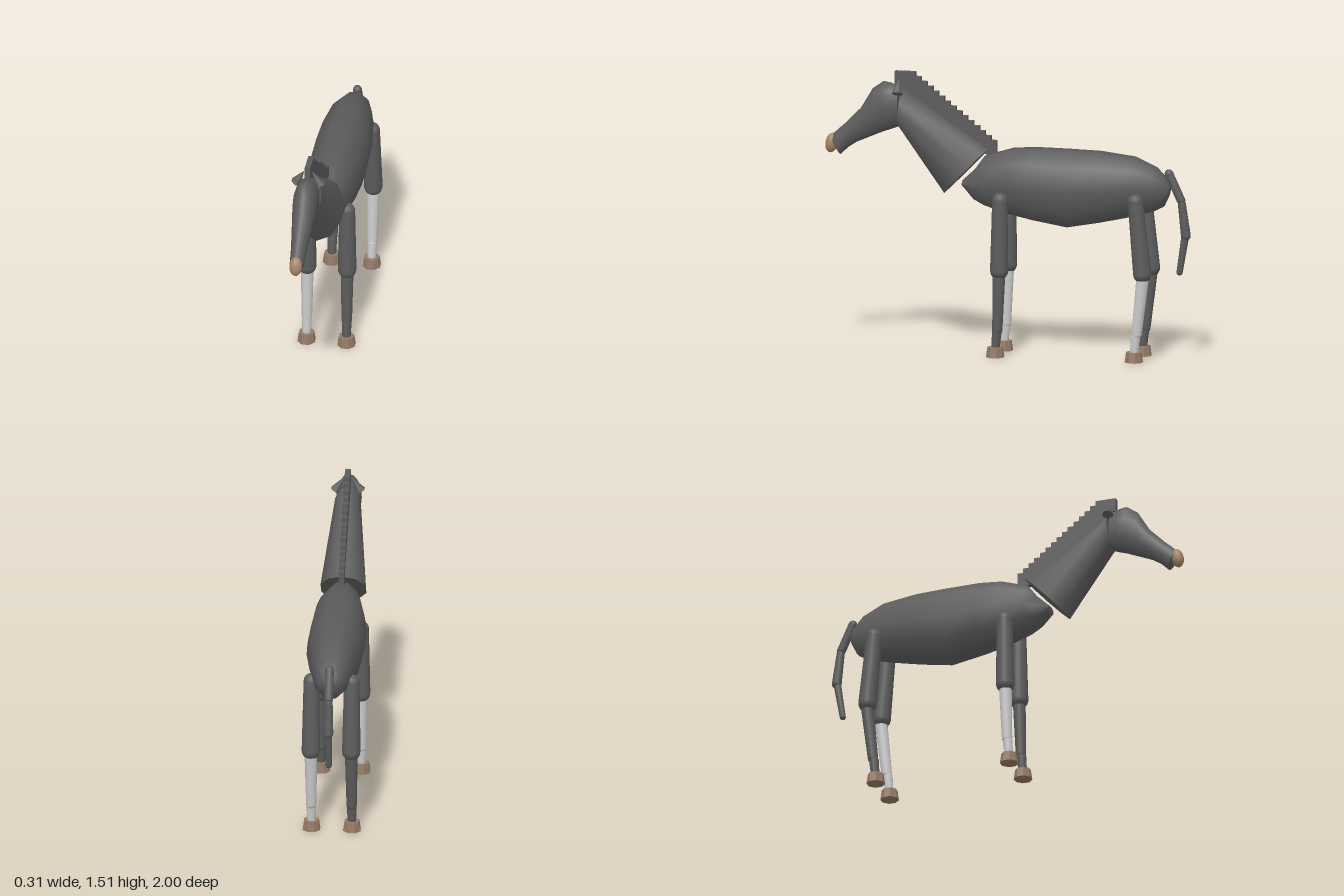
import * as THREE from 'three';

const mat = (color, flatShading = false) => new THREE.MeshStandardMaterial({ color, flatShading });
const coat = mat(0x5c5c5c);
const coatFlat = mat(0x5c5c5c, true);
const sock = mat(0xcccccc);
const muzzleSkin = mat(0xa5876a);
const horn = mat(0x937a66, true);

const add = (parent, name, geometry, material) => {
  const mesh = new THREE.Mesh(geometry, material);
  mesh.name = name;
  parent.add(mesh);
  return mesh;
};

// Skin over elliptical rings, each given as [topZ, topY, bottomZ, bottomY, halfWidth]
function loft(sections, sides, phase) {
  const pos = [], idx = [];
  const angles = Array.from({ length: sides }, (_, j) => phase + (j / sides) * Math.PI * 2);
  const reachX = Math.max(...angles.map(Math.cos));
  const reachY = Math.max(...angles.map(Math.sin));
  const ring = ([tz, ty, bz, by, w]) => angles.forEach((a) => {
    const x = (w * Math.cos(a)) / reachX, s = Math.sin(a) / reachY / 2;
    pos.push(x, (ty + by) / 2 + (ty - by) * s, (tz + bz) / 2 + (tz - bz) * s);
  });
  sections.forEach(ring);
  for (let i = 0; i < sections.length - 1; i++) {
    for (let j = 0; j < sides; j++) {
      const a = i * sides + j, b = i * sides + ((j + 1) % sides);
      idx.push(a, b, a + sides, b, b + sides, a + sides);
    }
  }
  // flat end caps with their own vertices
  [[sections[0], true], [sections[sections.length - 1], false]].forEach(([s, back]) => {
    const start = pos.length / 3;
    ring(s);
    for (let j = 1; j < sides - 1; j++) {
      idx.push(start, start + (back ? j + 1 : j), start + (back ? j : j + 1));
    }
  });
  const g = new THREE.BufferGeometry();
  g.setAttribute('position', new THREE.Float32BufferAttribute(pos, 3));
  g.setIndex(idx);
  g.computeVertexNormals();
  return g;
}

// Tapered round-ended rod between two points, tips included
function limb(parent, name, from, to, r0, r1, material, sides = 14) {
  const a = new THREE.Vector3(...from), b = new THREE.Vector3(...to);
  const len = a.distanceTo(b), pts = [], n = 5;
  for (let i = 0; i <= n; i++) {
    const t = (i / n) * Math.PI / 2;
    pts.push(new THREE.Vector2(r0 * Math.sin(t), r0 * (1 - Math.cos(t))));
  }
  for (let i = n; i >= 0; i--) {
    const t = (i / n) * Math.PI / 2;
    pts.push(new THREE.Vector2(r1 * Math.sin(t), len - r1 * (1 - Math.cos(t))));
  }
  const mesh = add(parent, name, new THREE.LatheGeometry(pts, sides), material);
  mesh.position.copy(a);
  mesh.quaternion.setFromUnitVectors(new THREE.Vector3(0, 1, 0), b.sub(a).normalize());
}

// Leg through the side-on points hip, knee, fetlock and foot, each [y, z]
function leg(parent, name, x, [hip, knee, fetlock, foot], lowerMaterial) {
  const g = new THREE.Group();
  g.name = name;
  parent.add(g);
  const p = ([y, z], dy = 0) => [x, y + dy, z];
  limb(g, 'upperLeg', p(knee, -0.01), p(hip), 0.05, 0.042, coat);
  limb(g, 'lowerLeg', p(fetlock, -0.01), p(knee, 0.04), 0.028, 0.034, lowerMaterial);
  limb(g, 'pastern', p(foot, -0.025), p(fetlock, 0.03), 0.023, 0.026, lowerMaterial);
  const hoof = add(g, 'hoof', new THREE.CylinderGeometry(0.042, 0.05, 0.055, 8), horn);
  hoof.position.set(x, 0.0275, foot[1]);
  hoof.rotation.y = Math.PI / 8;
}

export function createModel() {
  const horse = new THREE.Group();
  horse.name = 'horse';

  // Barrel of the body, rump to chest
  add(horse, 'body', loft([
    [-0.885, 0.94, -0.875, 0.88, 0.035],
    [-0.86, 0.985, -0.85, 0.83, 0.065],
    [-0.81, 1.035, -0.81, 0.81, 0.09],
    [-0.69, 1.088, -0.69, 0.775, 0.122],
    [-0.5, 1.11, -0.5, 0.735, 0.148],
    [-0.33, 1.115, -0.33, 0.705, 0.155],
    [-0.14, 1.118, -0.14, 0.737, 0.148],
    [-0.02, 1.11, -0.02, 0.762, 0.13],
    [0.126, 1.067, 0.126, 0.805, 0.1],
    [0.175, 1.0, 0.185, 0.835, 0.08],
    [0.245, 0.935, 0.245, 0.9, 0.045],
  ], 10, 0), coat);

  // Neck, shoulder to poll
  add(horse, 'neck', loft([
    [0.104, 1.11, 0.35, 0.858, 0.12],
    [0.575, 1.425, 0.6, 1.21, 0.068],
  ], 10, Math.PI / 2), coat);

  // Head, poll to muzzle
  add(horse, 'head', loft([
    [0.595, 1.425, 0.595, 1.21, 0.062],
    [0.64, 1.445, 0.635, 1.195, 0.068],
    [0.68, 1.452, 0.68, 1.18, 0.068],
    [0.74, 1.41, 0.751, 1.15, 0.06],
    [0.805, 1.302, 0.826, 1.118, 0.05],
    [0.89, 1.217, 0.874, 1.087, 0.042],
    [0.968, 1.147, 0.914, 1.048, 0.038],
  ], 16, 0), coat);
  const nose = add(horse, 'nose', new THREE.SphereGeometry(1, 16, 12), muzzleSkin);
  nose.scale.set(0.035, 0.054, 0.034);
  nose.position.set(0, 1.108, 0.964);
  nose.rotation.x = -0.2;

  // Ears, flaring outwards
  for (const side of [1, -1]) {
    const ear = add(horse, side > 0 ? 'leftEar' : 'rightEar', new THREE.ConeGeometry(0.032, 0.09, 6), coatFlat);
    ear.position.set(side * 0.043, 1.433, 0.592);
    ear.rotation.z = side * 0.5;
  }

  // Stepped mane of overlapping blocks
  const tufts = 15;
  for (let i = 0; i < tufts; i++) {
    const t = i / (tufts - 1);
    const tuft = add(horse, 'maneTuft', new THREE.BoxGeometry(0.03, 0.075, 0.112), coatFlat);
    tuft.position.set(0, 1.472 - 0.356 * t, 0.561 - 0.444 * t);
  }

  // Legs, with two diagonal pale socks
  const front = [[0.89, 0.022], [0.43, 0.026], [0.13, 0.037], [0.05, 0.048]];
  const hind = [[0.91, -0.714], [0.44, -0.76], [0.135, -0.722], [0.05, -0.709]];
  leg(horse, 'frontLeftLeg', 0.108, front, coat);
  leg(horse, 'frontRightLeg', -0.108, front, sock);
  leg(horse, 'hindLeftLeg', 0.108, hind, sock);
  leg(horse, 'hindRightLeg', -0.108, hind, coat);

  // Tail in three links
  const tail = new THREE.Group();
  tail.name = 'tail';
  horse.add(tail);
  limb(tail, 'tailBase', [0, 1.03, -0.868], [0, 0.845, -0.953], 0.024, 0.024, coat, 10);
  limb(tail, 'tailMiddle', [0, 0.87, -0.945], [0, 0.65, -0.973], 0.022, 0.027, coat, 10);
  limb(tail, 'tailTip', [0, 0.69, -0.969], [0, 0.46, -0.933], 0.021, 0.017, coat, 10);

  return horse;
}
